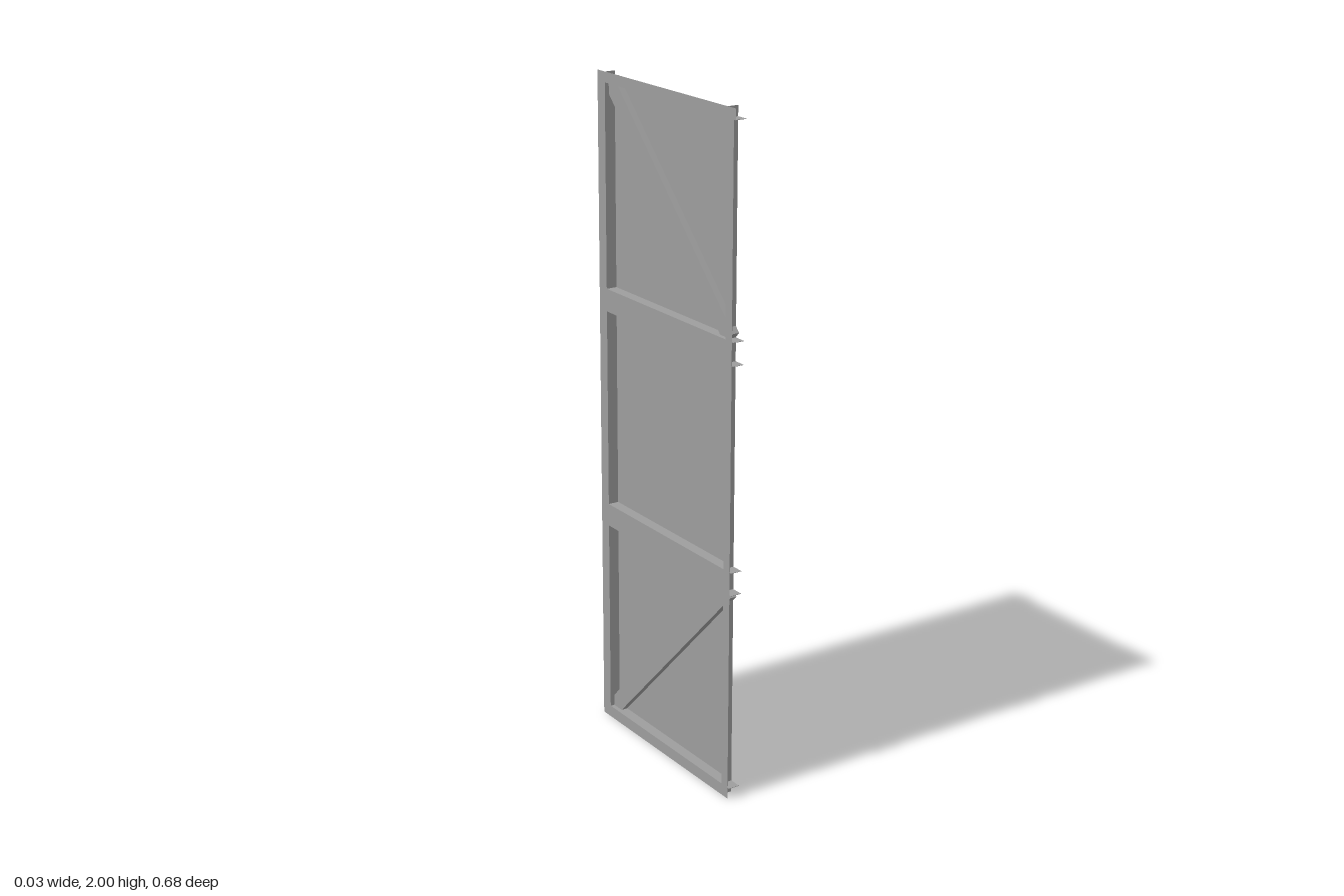
import * as THREE from 'three';

// Thin pressed-sheet door: a frame of open channels, three panels, two braces.
export function createModel() {
  const door = new THREE.Group();
  door.name = 'door';
  const material = new THREE.MeshStandardMaterial({ color: 0x9d9d9d, side: THREE.DoubleSide });
  const T = 0.001;                    // sheet thickness
  const BACK = -0.018, FRONT = 0.016; // x of the frame webs and of the panels
  const INNER = 0.3, Z_MIN = -0.338, Z_MAX = 0.33, Z_END = 0.338;

  // Box given by its limits along each axis
  function sheet(name, [x0, x1], [y0, y1], [z0, z1]) {
    const mesh = new THREE.Mesh(new THREE.BoxGeometry(x1 - x0, y1 - y0, z1 - z0), material);
    mesh.name = name;
    mesh.position.set((x0 + x1) / 2, (y0 + y1) / 2, (z0 + z1) / 2);
    door.add(mesh);
  }
  const web = [BACK, BACK + T], depth = [BACK, FRONT];

  // Panels filling the three openings
  const openings = [[0.035, 0.635], [0.703, 1.303], [1.37, 1.97]];
  for (const y of openings) sheet('panel', [FRONT - T, FRONT], y, [-INNER, INNER]);

  // Stiles: a web and an inner flange, open at the outer edge
  sheet('stileWeb', web, [0, 2], [INNER, Z_MAX]);
  sheet('stileWeb', web, [0, 2], [Z_MIN, -INNER]);
  for (const z of [-INNER, INNER]) {
    sheet('stileFlange', depth, [0, 2], [z - T / 2, z + T / 2]);
  }

  // Rails: webs between the openings, the top one slightly longer
  sheet('bottomRailWeb', web, [0, 0.035], [-INNER, INNER]);
  sheet('lowerRailWeb', web, [0.635, 0.703], [-INNER, INNER]);
  sheet('upperRailWeb', web, [1.303, 1.37], [-INNER, INNER]);
  sheet('topRailWeb', web, [1.97, 2], [-INNER, Z_END]);

  // Rail flanges along the edges of every opening
  for (const y of openings.flat()) {
    sheet('railFlange', depth, [y - T / 2, y + T / 2], [Z_MIN, Z_END]);
  }

  // Diagonal braces behind the top and bottom panels, tips passing the flanges
  function brace(name, yAtPlusZ, yAtMinusZ) {
    const dy = yAtMinusZ - yAtPlusZ, dz = -0.594;
    const x1 = FRONT - T / 2, x0 = -0.005;
    const mesh = new THREE.Mesh(new THREE.BoxGeometry(x1 - x0, 0.054, Math.hypot(dy, dz)), material);
    mesh.name = name;
    mesh.position.set((x0 + x1) / 2, (yAtPlusZ + yAtMinusZ) / 2, 0);
    mesh.rotation.x = Math.atan2(-dy, dz);
    door.add(mesh);
  }
  brace('upperBrace', 1.368, 1.972);
  brace('lowerBrace', 0.637, 0.033);

  return door;
}
